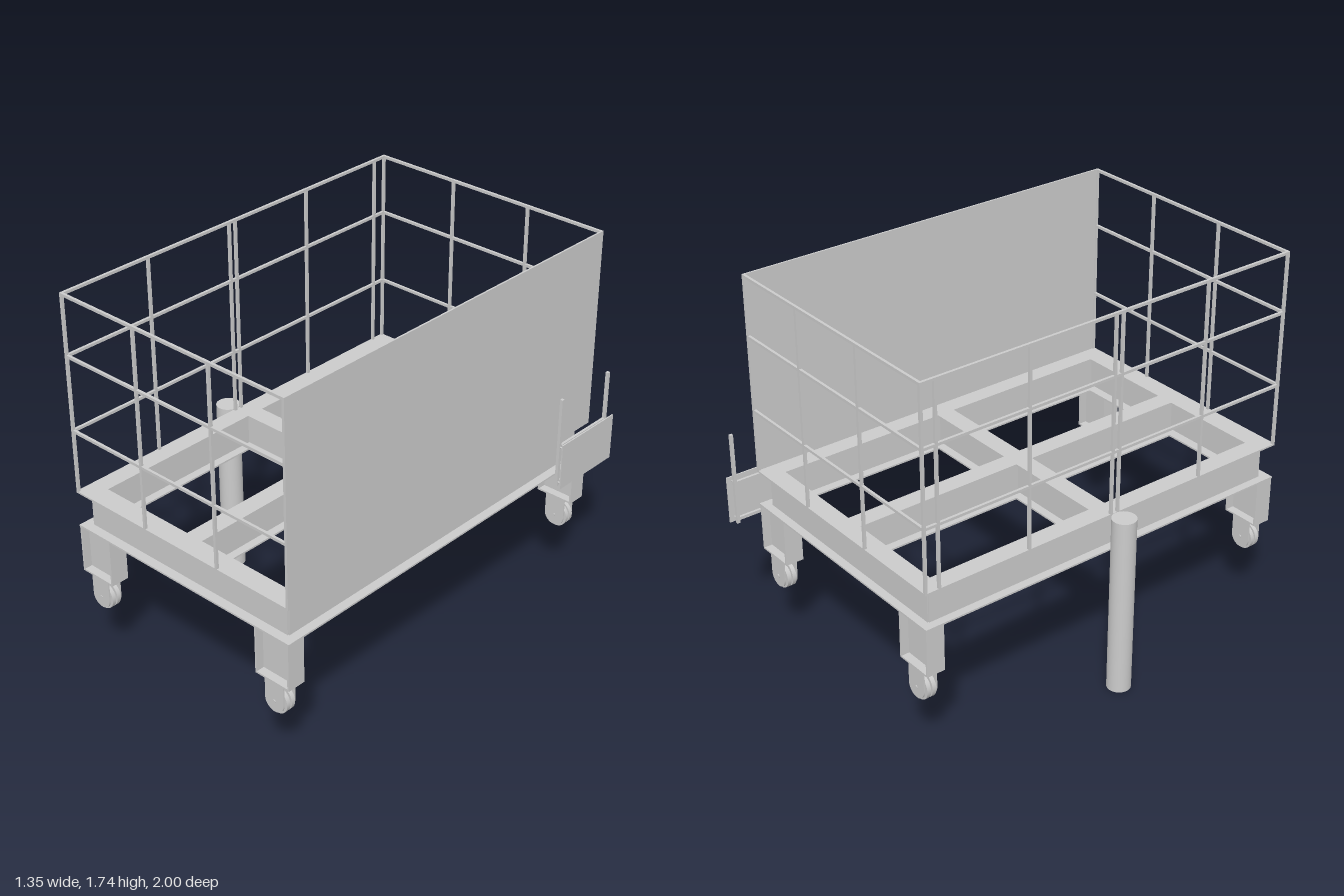
import * as THREE from 'three';

const grey = new THREE.MeshStandardMaterial({ color: 0xcccccc, side: THREE.DoubleSide });

function add(parent, name, geometry, x = 0, y = 0, z = 0) {
  const mesh = new THREE.Mesh(geometry, grey);
  mesh.name = name;
  mesh.position.set(x, y, z);
  parent.add(mesh);
  return mesh;
}

// Box given by its minimum and maximum corners
function box(parent, name, [x0, y0, z0], [x1, y1, z1]) {
  return add(parent, name, new THREE.BoxGeometry(x1 - x0, y1 - y0, z1 - z0),
    (x0 + x1) / 2, (y0 + y1) / 2, (z0 + z1) / 2);
}

function group(parent, name) {
  const g = new THREE.Group();
  g.name = name;
  parent.add(g);
  return g;
}

const L = -0.565, R = 0.635, F = 1.0, B = -0.87; // frame outline
const TOP = 0.835, BOTTOM = 0.662, T = 0.008;

function rectangle(Type, x0, z0, x1, z1) {
  const p = new Type();
  p.moveTo(x0, -z0).lineTo(x1, -z0).lineTo(x1, -z1).lineTo(x0, -z1).closePath();
  return p;
}

// Chassis of I-beams: two pierced flange sheets joined by upright webs
function buildChassis(root) {
  const g = group(root, 'chassis');
  const shape = rectangle(THREE.Shape, L, B, R, F);
  for (const [x0, x1] of [[-0.48, -0.01], [0.075, 0.545]])
    for (const [z0, z1] of [[-0.785, 0.015], [0.1, 0.905]])
      shape.holes.push(rectangle(THREE.Path, x0, z0, x1, z1));
  const flange = new THREE.ExtrudeGeometry(shape, { depth: T, bevelEnabled: false });
  flange.rotateX(-Math.PI / 2);
  add(g, 'topFlange', flange, 0, TOP - T, 0);
  add(g, 'bottomFlange', flange, 0, BOTTOM, 0);
  const y0 = BOTTOM + T, y1 = TOP - T, h = 0.005;
  for (const x of [-0.523, 0.033, 0.59])
    box(g, 'lengthwiseWeb', [x - h, y0, -0.828], [x + h, y1, 0.953]);
  for (const z of [-0.828, 0.058, 0.953])
    box(g, 'crosswiseWeb', [-0.523, y0, z - h], [0.59, y1, z + h]);
}

// Mesh fence on the front, back and left; a solid sheet on the right
function buildCage(root) {
  const g = group(root, 'cage');
  const h = 0.006, top = 1.735;
  const x0 = L + h, x1 = R - h, z0 = B + h, z1 = F - h;
  const post = (x, z) => box(g, 'fencePost', [x - h, TOP, z - h], [x + h, top, z + h]);
  for (const z of [z0, z1]) for (const x of [x0, -0.155, 0.25, x1]) post(x, z);
  for (const z of [0.55, 0.1, 0.065, -0.36, -0.8]) post(x0, z);
  for (const y of [1.12, 1.46, top - h]) {
    for (const z of [z0, z1]) box(g, 'endRail', [x0, y - h, z - h], [x1, y + h, z + h]);
    box(g, 'sideRail', [x0 - h, y - h, z0], [x0 + h, y + h, z1]);
  }
  box(g, 'sidePanel', [R - 0.008, TOP, B], [R, top, F]);
}

// Leg stub of H section with a foot plate, carrying a forked twin wheel
function buildCaster(root, x, z) {
  const g = group(root, 'casterLeg');
  g.position.set(x, 0, z);
  const w = 0.09, d = 0.043;
  for (const s of [-1, 1])
    add(g, 'legFlange', new THREE.BoxGeometry(T, BOTTOM - 0.445, d * 2), s * (w - T / 2), (BOTTOM + 0.445) / 2, 0);
  box(g, 'legWeb', [-w, 0.445, -0.005], [w, BOTTOM, 0.005]);
  box(g, 'footPlate', [-w, 0.445, -d], [w, 0.453, d]);

  const cheek = new THREE.Shape();
  cheek.moveTo(0.05, 0.1).lineTo(-0.05, 0.1).lineTo(-0.05, 0);
  cheek.absarc(0, 0, 0.05, Math.PI, Math.PI * 2, false);
  const cheekGeometry = new THREE.ExtrudeGeometry(cheek, { depth: 0.006, bevelEnabled: false, curveSegments: 16 });
  for (const cz of [-0.033, 0.027]) add(g, 'forkCheek', cheekGeometry, 0, 0.345, cz);

  const disc = (name, r, depth, cz) =>
    add(g, name, new THREE.CylinderGeometry(r, r, depth, 32).rotateX(Math.PI / 2), 0, 0.345, cz);
  for (const cz of [-0.013, 0.013]) disc('wheel', 0.059, 0.018, cz);
  disc('wheelHub', 0.045, 0.03, 0);
  disc('axle', 0.008, 0.072, 0);
}

// Plate held off two uprights at the back right corner
function buildBracket(root) {
  const g = group(root, 'sideBracket');
  const h = 0.007;
  for (const z of [-0.975, -0.65]) {
    box(g, 'bracketUpright', [0.637, 0.61, z - h], [0.651, 1.037, z + h]);
    for (const y of [0.63, 0.805])
      add(g, 'spacerPin', new THREE.CylinderGeometry(0.004, 0.004, 0.032, 10).rotateZ(Math.PI / 2), 0.656, y, z);
  }
  for (const y of [0.63, 0.805]) box(g, 'bracketRail', [0.638, y - h, -0.975], [0.65, y + h, -0.65]);
  box(g, 'bracketPlate', [0.667, 0.608, -1], [0.673, 0.826, -0.637]);
}

export function createModel() {
  const root = new THREE.Group();
  root.name = 'cageTrolley';
  buildChassis(root);
  buildCage(root);
  for (const x of [-0.472, 0.541])
    for (const z of [-0.826, 0.957]) buildCaster(root, x, z);
  // Upright post beside the left beam
  add(root, 'groundPost', new THREE.CylinderGeometry(0.053, 0.053, TOP, 40), -0.62, TOP / 2, 0.085);
  buildBracket(root);
  return root;
}
